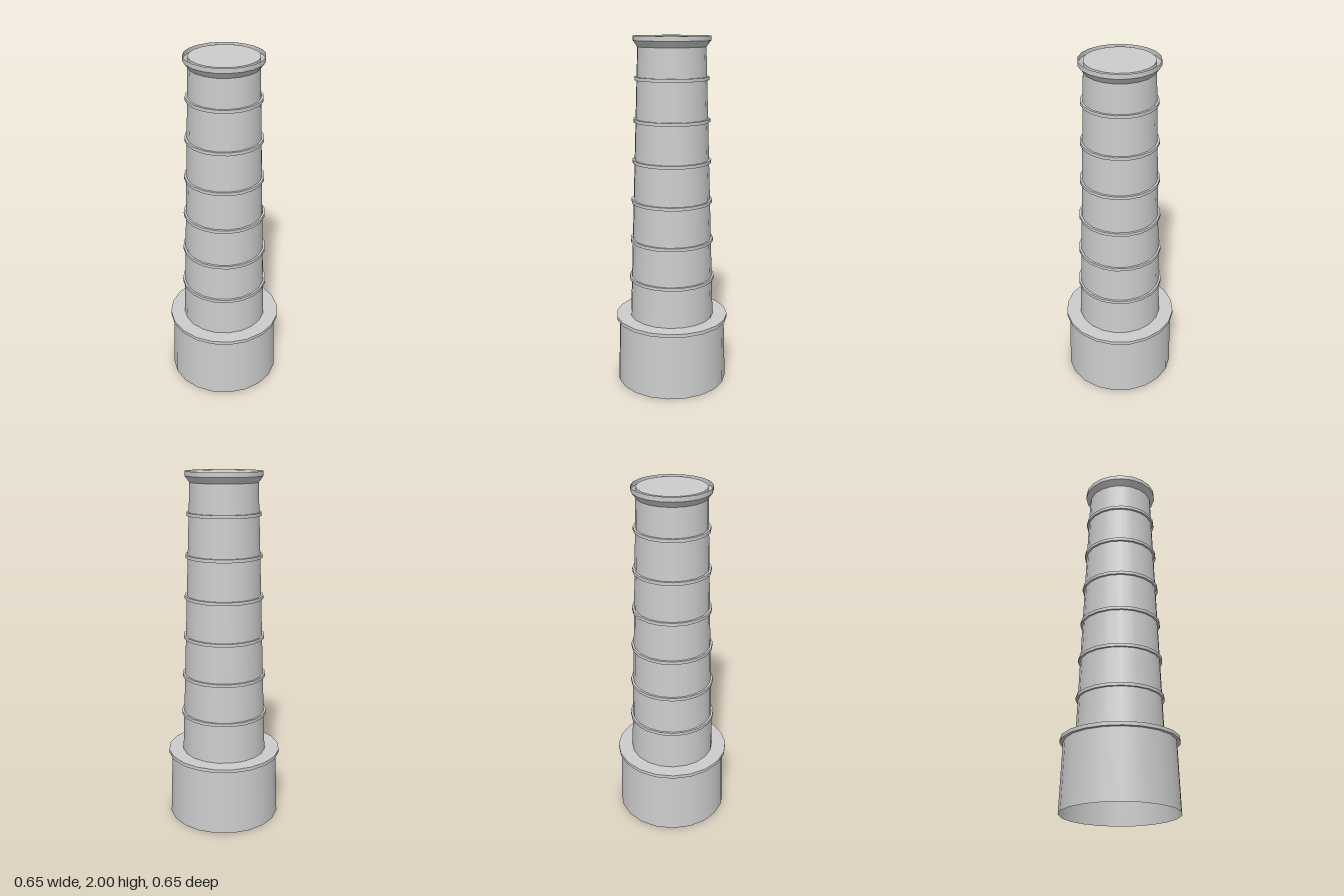
import * as THREE from 'three';

const SIDES = 20;

export function createModel() {
  const group = new THREE.Group();
  const stone = new THREE.MeshStandardMaterial({ color: 0xcccccc });
  stone.name = 'paleGrey';
  stone.side = THREE.DoubleSide;

  // Turned part: each profile step is its own strip, so rims stay crisp while the sides are smooth
  function turned(name, profile) {
    const part = new THREE.Group();
    part.name = name;
    for (let i = 0; i < profile.length - 1; i++) {
      const pts = [profile[i], profile[i + 1]].map(([r, y]) => new THREE.Vector2(r, y));
      const strip = new THREE.Mesh(new THREE.LatheGeometry(pts, SIDES), stone);
      strip.name = name + 'Strip';
      part.add(strip);
    }
    group.add(part);
  }

  const shaftBottom = 0.4, shaftTop = 1.995;
  const shaftRadius = (y) => 0.243 - 0.057 * (y - 0.4) / 1.6;

  // Open-bottomed plinth with a projecting ledge
  turned('plinth', [[0.322, 0], [0.309, 0.38], [0.327, 0.38], [0.327, 0.4], [0.24, 0.4]]);

  // Tapered shaft, closed on top
  turned('shaft', [[shaftRadius(shaftBottom), shaftBottom], [shaftRadius(shaftTop), shaftTop], [0, shaftTop]]);

  // Evenly spaced hoops around the shaft
  for (let k = 1; k <= 6; k++) {
    const y = 0.403 + k * 1.6 / 7;
    const r = shaftRadius(y), outer = r + 0.012;
    turned('hoop', [[r, y - 0.009], [outer, y - 0.009], [outer, y + 0.009], [r, y + 0.009]]);
  }

  // Thin flared lip around the top
  turned('flaredLip', [[0.187, 1.94], [0.213, 1.975], [0.213, 2]]);

  return group;
}
